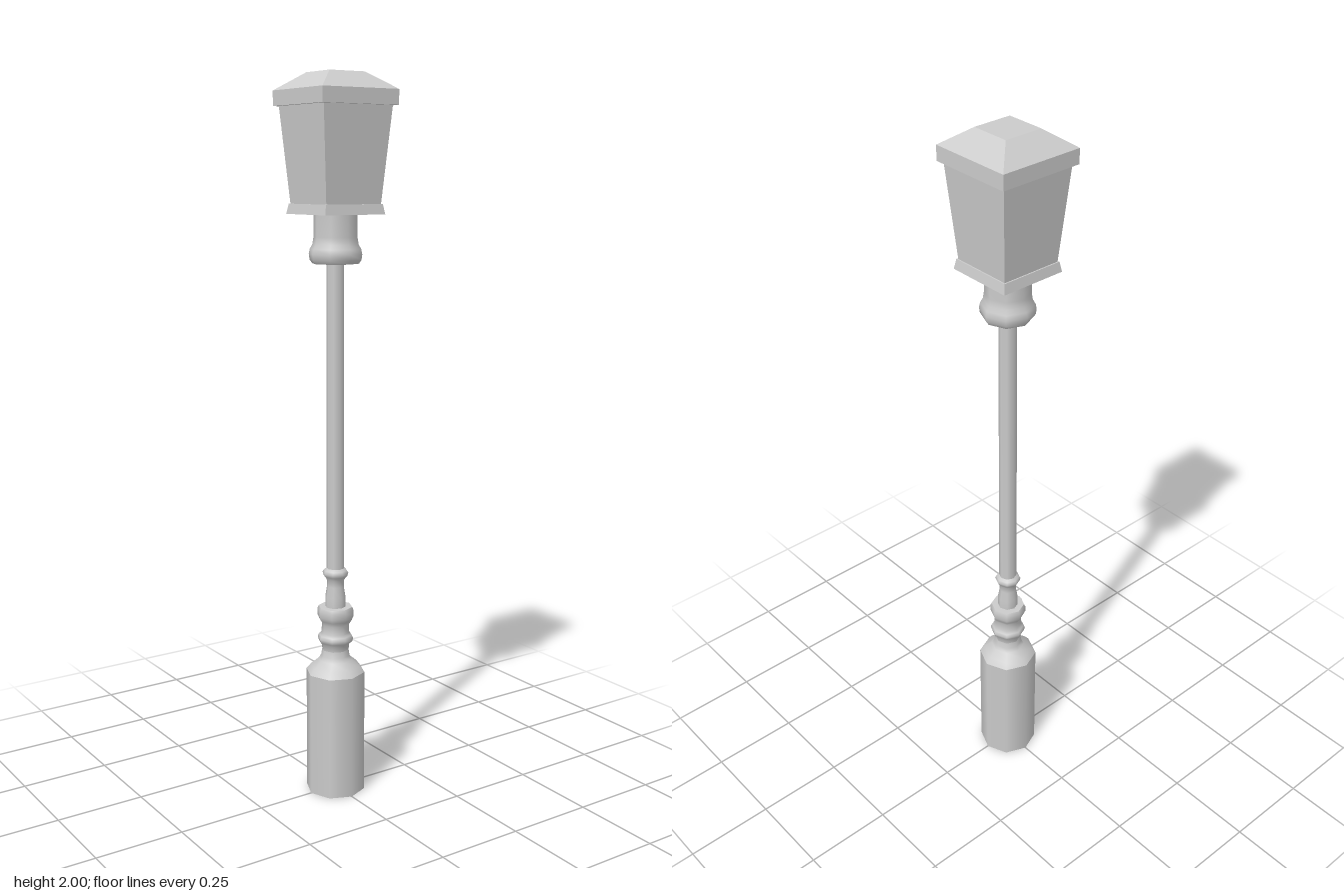
import * as THREE from 'three';

const smooth = new THREE.MeshStandardMaterial({ color: 0xcccccc, side: THREE.DoubleSide });
const flat = new THREE.MeshStandardMaterial({ color: 0xcccccc, flatShading: true });

export function createModel() {
  const group = new THREE.Group();

  const add = (name, geometry, material) => {
    const mesh = new THREE.Mesh(geometry, material);
    mesh.name = name;
    group.add(mesh);
  };

  // eight-sided turned part, profile of [radius, height] from bottom to top
  const turned = (name, profile) =>
    add(name, new THREE.LatheGeometry(profile.map(([r, y]) => new THREE.Vector2(r, y)), 8), smooth);

  // square tapered block given by half widths
  const block = (name, y0, half0, y1, half1) => {
    const g = new THREE.CylinderGeometry(half1 * Math.SQRT2, half0 * Math.SQRT2, y1 - y0, 4);
    g.rotateY(Math.PI / 4).translate(0, (y0 + y1) / 2, 0);
    add(name, g, flat);
  };

  // hollow foot and its sloping shoulder
  turned('base', [[0.084, 0], [0.084, 0.355]]);
  turned('baseShoulder', [[0.084, 0.355], [0.071, 0.371], [0.048, 0.39], [0.041, 0.402], [0.038, 0.42]]);

  // ringed collar above the foot
  turned('collar', [[0.038, 0.42], [0.04, 0.437], [0.049, 0.445], [0.051, 0.455], [0.047, 0.463],
    [0.04, 0.47], [0.039, 0.495], [0.047, 0.508], [0.052, 0.52], [0.052, 0.537], [0.048, 0.546]]);
  turned('collarTop', [[0.048, 0.546], [0.025, 0.546]]);

  // pole with its small ring
  turned('poleFoot', [[0.029, 0.546], [0.029, 0.575], [0.024, 0.605], [0.025, 0.625], [0.034, 0.636],
    [0.037, 0.645], [0.033, 0.652], [0.025, 0.658]]);
  turned('pole', [[0.025, 0.658], [0.024, 1.51]]);

  // cup that carries the lantern
  turned('cupUnderside', [[0.022, 1.505], [0.064, 1.505]]);
  turned('cup', [[0.064, 1.505], [0.071, 1.515], [0.073, 1.53], [0.07, 1.544], [0.063, 1.556],
    [0.06, 1.575], [0.06, 1.637]]);

  // square lantern
  block('lanternBottomTrim', 1.635, 0.095, 1.662, 0.09);
  block('lanternBody', 1.655, 0.086, 1.92, 0.108);
  block('lanternRim', 1.915, 0.119, 1.955, 0.119);
  block('lanternRoof', 1.955, 0.119, 2, 0.055);

  return group;
}
